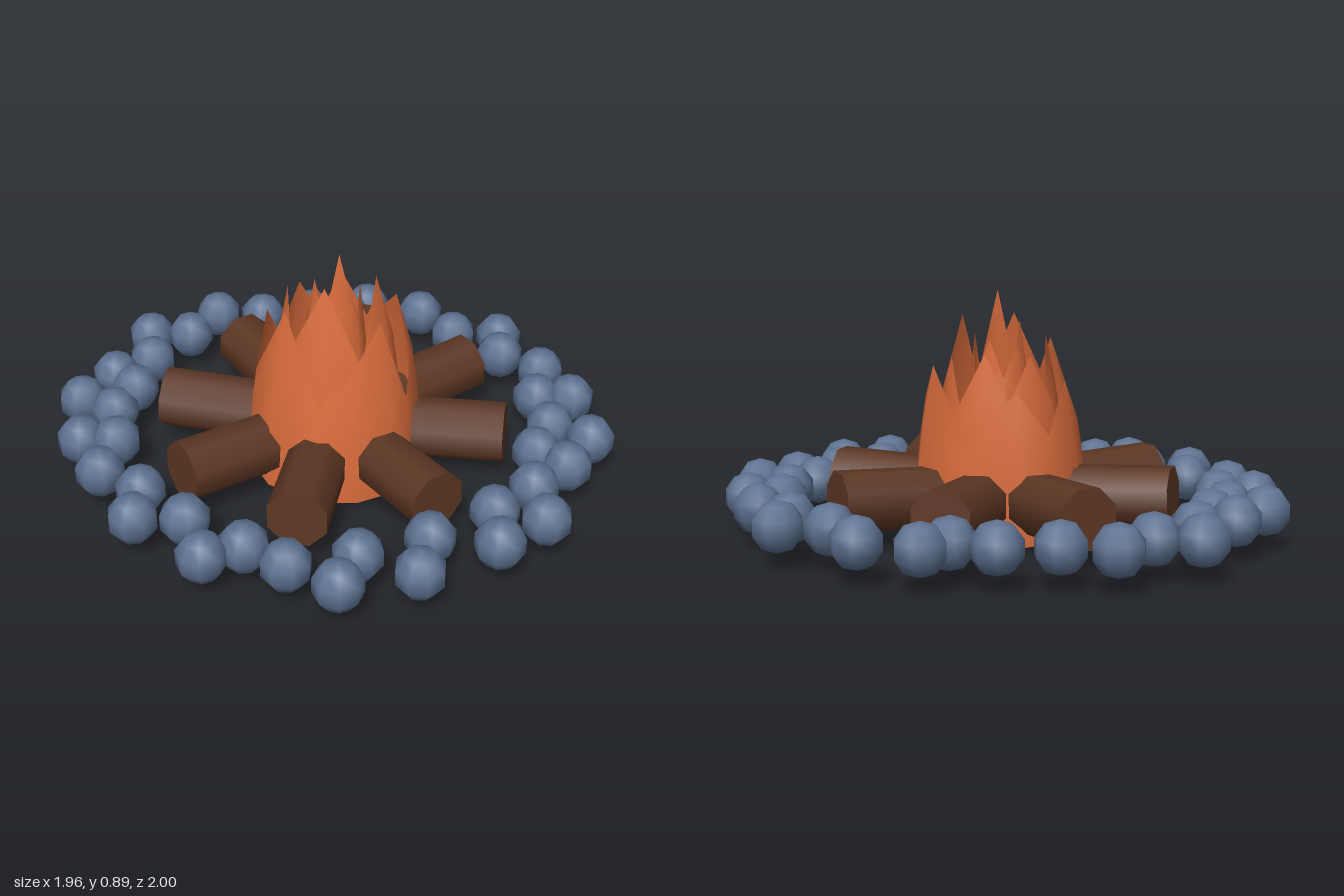
import * as THREE from 'three';

const flameMat = new THREE.MeshStandardMaterial({ color: 0xd96c3c, side: THREE.DoubleSide });
flameMat.name = 'flame orange';
const logMat = new THREE.MeshStandardMaterial({ color: 0x5c3623 });
logMat.name = 'bark brown';
const stoneMat = new THREE.MeshStandardMaterial({ color: 0x5d7190 });
stoneMat.name = 'stone blue';

// Open tapering shell with a jagged rim; rim holds [angle in degrees, height]
function flameShell(name, rim, radiusAt) {
  const rows = 4, n = rim.length, pos = [], index = [];
  rim.forEach(([deg, top]) => {
    const a = THREE.MathUtils.degToRad(deg);
    for (let j = 0; j <= rows; j++) {
      const t = j / rows;
      const y0 = t * top, r = radiusAt(y0);
      const x = Math.cos(a) * r;
      const y = y0 + (1 - t) * (0.013 - 0.04 * x); // slightly tilted foot
      pos.push(-0.02 + 0.012 * t + x, y, 0.035 - 0.015 * t + Math.sin(a) * r);
    }
  });
  for (let i = 0; i < n; i++) {
    for (let j = 0; j < rows; j++) {
      const a = i * (rows + 1) + j, b = ((i + 1) % n) * (rows + 1) + j;
      index.push(a, a + 1, b, b, a + 1, b + 1);
    }
  }
  const geo = new THREE.BufferGeometry();
  geo.setAttribute('position', new THREE.Float32BufferAttribute(pos, 3));
  geo.setIndex(index);
  geo.computeVertexNormals();
  const mesh = new THREE.Mesh(geo, flameMat);
  mesh.name = name;
  return mesh;
}

export function createModel() {
  const model = new THREE.Group();
  model.name = 'campfire';

  // Three nested layers of flame
  const fire = new THREE.Group();
  fire.name = 'fire';
  fire.add(
    flameShell('outerFlame', [
      [10, 0.63], [40, 0.5], [68, 0.36], [85, 0.68], [112, 0.54], [138, 0.39],
      [175, 0.71], [205, 0.42], [235, 0.58], [262, 0.4], [285, 0.55], [325, 0.4],
    ], (y) => 0.32 - 0.18 * y * y),
    flameShell('middleFlame', [
      [5, 0.66], [32, 0.52], [59, 0.8], [100, 0.5], [140, 0.8], [175, 0.55],
      [207, 0.74], [235, 0.5], [262, 0.67], [290, 0.5], [315, 0.68], [340, 0.5],
    ], (y) => 0.25 - 0.15 * y * y),
    flameShell('innerFlame', [
      [35, 0.74], [75, 0.6], [115, 0.89], [150, 0.62], [185, 0.78],
      [220, 0.6], [255, 0.7], [290, 0.58], [320, 0.72], [358, 0.58],
    ], (y) => 0.165 - 0.105 * y),
  );
  model.add(fire);

  // Eight logs fanned around the fire, outer ends slightly raised
  const logs = new THREE.Group();
  logs.name = 'logs';
  const logGeo = new THREE.CylinderGeometry(0.112, 0.112, 0.4, 8, 1, false, Math.PI / 8);
  logGeo.rotateZ(-Math.PI / 2);
  logGeo.rotateZ(0.045);
  logGeo.translate(0.44, 0.168, 0);
  for (let i = 0; i < 8; i++) {
    const log = new THREE.Mesh(logGeo, logMat);
    log.name = 'log';
    log.position.set(-0.012, 0, 0.01);
    log.rotation.y = -(i * Math.PI) / 4 - 0.037;
    logs.add(log);
  }
  model.add(logs);

  // Loose ring of stones, as x, z pairs
  const spots = [
    -0.24, -0.92, -0.11, -0.83, 0.07, -0.9, 0.21, -0.78, 0.39, -0.69, 0.49, -0.56, 0.61, -0.59,
    0.75, -0.41, 0.75, -0.2, 0.89, -0.08, 0.8, 0.03, 0.85, 0.21, 0.71, 0.34, 0.81, 0.42,
    0.62, 0.51, 0.68, 0.66, 0.47, 0.6, 0.5, 0.73, 0.32, 0.75, 0.12, 0.77, 0.23, 0.91,
    0.02, 0.91, -0.15, 0.75, -0.29, 0.87, -0.4, 0.68, -0.54, 0.76, -0.62, 0.58, -0.68, 0.42,
    -0.82, 0.38, -0.76, 0.18, -0.9, 0.07, -0.8, -0.05, -0.86, -0.23, -0.72, -0.36, -0.82, -0.44,
    -0.63, -0.53, -0.69, -0.67, -0.5, -0.75, -0.49, -0.62, -0.33, -0.76,
  ];
  const stones = new THREE.Group();
  stones.name = 'stoneRing';
  const stoneGeo = new THREE.SphereGeometry(0.092, 8, 5);
  for (let i = 0; i < spots.length; i += 2) {
    const stone = new THREE.Mesh(stoneGeo, stoneMat);
    stone.name = 'stone';
    stone.position.set(spots[i], 0.142, spots[i + 1]);
    stone.rotation.y = i * 1.7;
    stones.add(stone);
  }
  model.add(stones);
  return model;
}
